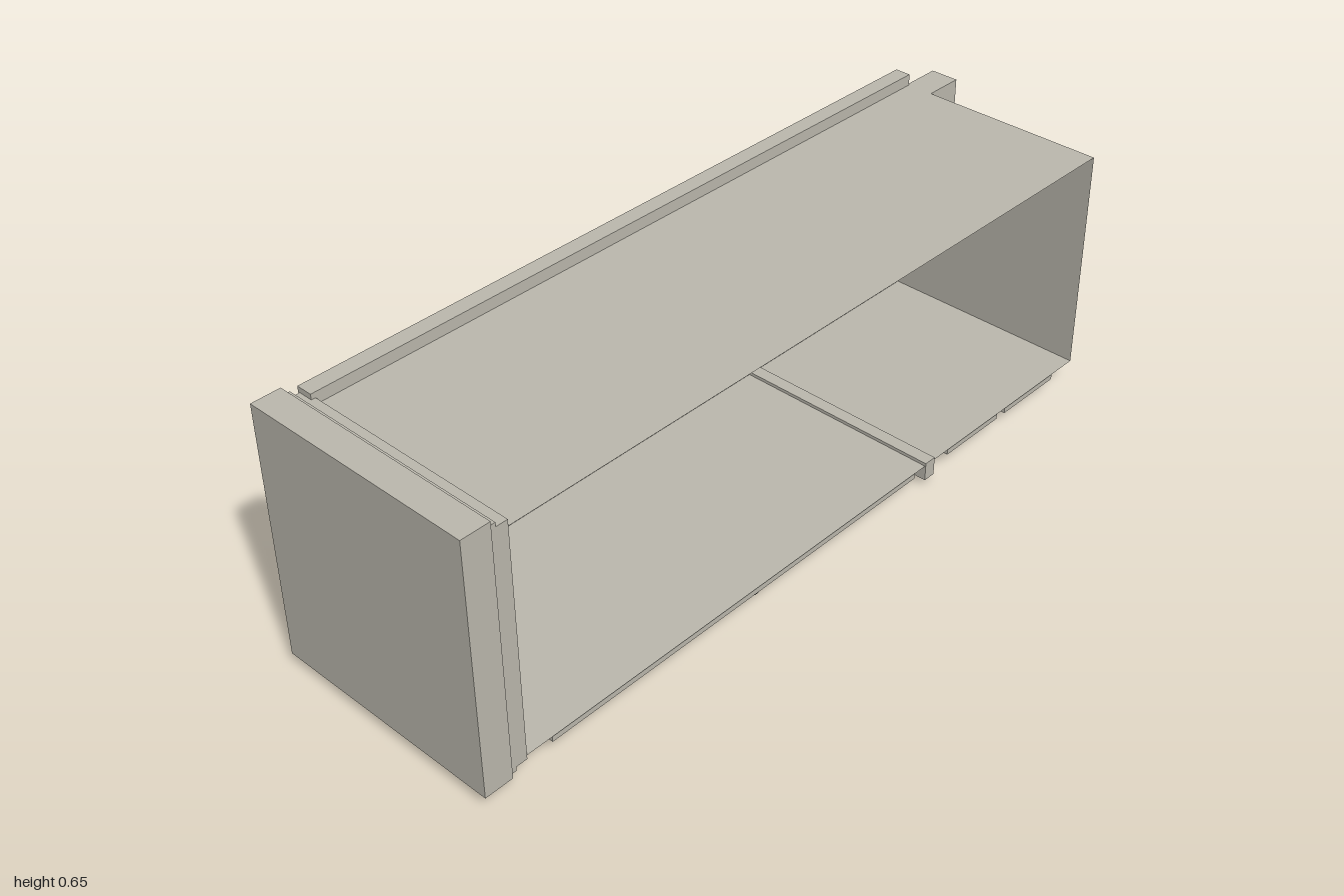
import * as THREE from 'three';

export function createModel() {
  const group = new THREE.Group();
  const paint = new THREE.MeshStandardMaterial({ color: 0xbcb9ae, side: THREE.DoubleSide });
  paint.name = 'warm grey paint';
  const dark = new THREE.MeshStandardMaterial({ color: 0x3b3835 });
  dark.name = 'dark metal';

  const add = (name, geometry, material, x, y, z) => {
    const mesh = new THREE.Mesh(geometry, material);
    mesh.name = name;
    mesh.position.set(x, y, z);
    group.add(mesh);
    return mesh;
  };
  // Box given by its extents on each axis
  const box = (name, [x0, x1], [y0, y1], [z0, z1]) =>
    add(name, new THREE.BoxGeometry(x1 - x0, y1 - y0, z1 - z0), paint,
      (x0 + x1) / 2, (y0 + y1) / 2, (z0 + z1) / 2);
  // Thin sheet, turned to lie across the wanted axis
  const sheet = (name, w, h, pos, rx, ry) =>
    add(name, new THREE.PlaneGeometry(w, h), paint, ...pos).rotation.set(rx, ry, 0);

  // Carcass of thin sheets, open on the +x side
  const xMid = 0.0125, wide = 0.555;
  sheet('upperPanel', wide, 1.8, [xMid, 0.62, 0], -Math.PI / 2, 0);
  sheet('lowerPanel', wide, 1.8, [xMid, 0.06, 0], Math.PI / 2, 0);
  sheet('sidePanel', 1.8, 0.56, [-0.265, 0.34, 0], 0, -Math.PI / 2);
  sheet('endPanel', wide, 0.56, [xMid, 0.34, -0.9], 0, Math.PI);

  // Stepped cornice at the front end
  box('cornicePlate', [-0.295, 0.292], [0.03, 0.655], [0.93, 1]);
  box('corniceStep', [-0.285, 0.29], [0.04, 0.645], [0.918, 0.93]);
  box('corniceBase', [-0.28, 0.29], [0.05, 0.635], [0.89, 0.918]);

  // Corner posts and feet
  for (const [y0, y1] of [[0.04, 0.08], [0.605, 0.648]])
    box('cornerPost', [-0.285, -0.245], [y0, y1], [-0.9, 0.9]);
  for (const [y0, y1] of [[0.07, 0.145], [0.54, 0.62]])
    box('foot', [-0.25, -0.178], [y0, y1], [-1, -0.9]);

  // Door with raised panel, dividing rail and two drawers
  box('door', [-0.222, 0.285], [0.04, 0.06], [-0.3, 0.82]);
  box('doorPanel', [-0.16, 0.22], [0.027, 0.04], [-0.21, 0.73]);
  box('dividingRail', [-0.275, 0.292], [0.021, 0.068], [-0.362, -0.33]);
  for (const [z0, z1] of [[-0.61, -0.42], [-0.83, -0.64]])
    box('drawerFront', [-0.2, 0.285], [0.04, 0.06], [z0, z1]);

  // Round knobs
  for (const [x, z] of [[0.238, 0.2], [0.014, -0.515], [0.014, -0.735]])
    add('knob', new THREE.CylinderGeometry(0.018, 0.018, 0.04, 24), dark, x, 0.02, z);

  return group;
}
